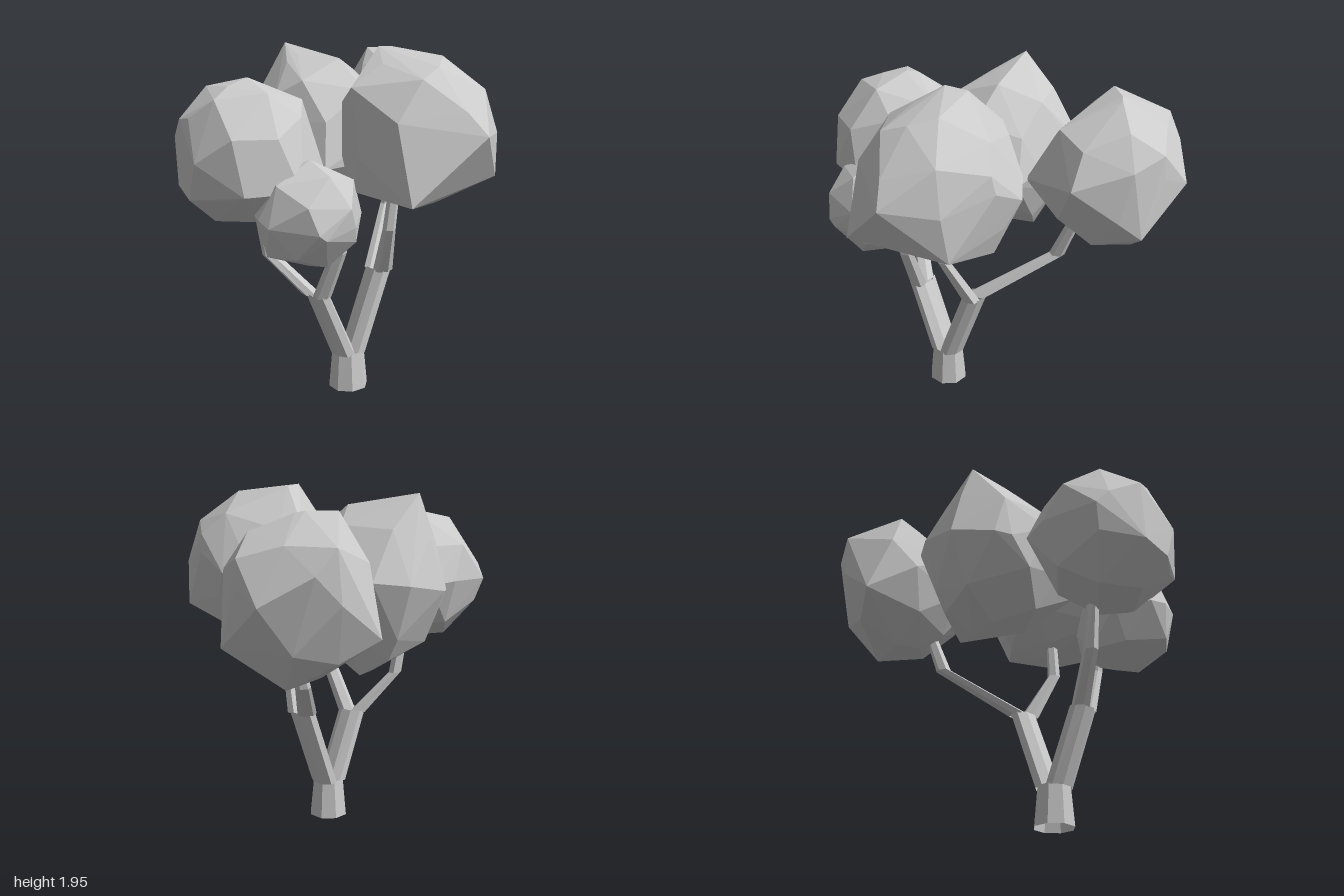
import * as THREE from 'three';
import { ConvexGeometry } from 'three/addons/geometries/ConvexGeometry.js';

const bark = new THREE.MeshStandardMaterial({ color: 0xcccccc, flatShading: true, side: THREE.DoubleSide });
const leaf = new THREE.MeshStandardMaterial({ color: 0xcccccc, flatShading: true });

function seeded(seed) {
  let s = seed * 7919 + 17;
  return () => (s = (s * 16807) % 2147483647) / 2147483647;
}

// Limb lofted through level rings: [x, y, z, rx, rz]
function limb(name, rings, sides = 8) {
  const pos = [], index = [];
  rings.forEach(([x, y, z, rx, rz], r) => {
    for (let i = 0; i < sides; i++) {
      const a = ((i + 0.5) / sides) * Math.PI * 2;
      pos.push(x + rx * Math.cos(a), y, z + rz * Math.sin(a));
      if (r === 0) continue;
      const j = (i + 1) % sides, lo = (r - 1) * sides, hi = r * sides;
      index.push(lo + i, hi + i, lo + j, lo + j, hi + i, hi + j);
    }
  });
  let geo = new THREE.BufferGeometry();
  geo.setAttribute('position', new THREE.Float32BufferAttribute(pos, 3));
  geo.setIndex(index);
  geo = geo.toNonIndexed();
  geo.computeVertexNormals();
  const mesh = new THREE.Mesh(geo, bark);
  mesh.name = name;
  return mesh;
}

// Faceted crown: evenly spread, jittered points fitted to a box, plus pronounced corners
function crown(name, min, max, corners, seed, count = 28) {
  const rand = seeded(seed);
  const turn = new THREE.Euler(rand() * 6, rand() * 6, rand() * 6);
  const points = [];
  for (let i = 0; i < count; i++) {
    const y = 1 - (2 * (i + 0.5)) / count, r = Math.sqrt(1 - y * y), a = i * 2.39996;
    const p = new THREE.Vector3(r * Math.cos(a), y, r * Math.sin(a));
    p.add(new THREE.Vector3(rand() - 0.5, rand() - 0.5, rand() - 0.5).multiplyScalar(0.12)).normalize();
    points.push(p.applyEuler(turn));
  }
  const from = new THREE.Box3().setFromPoints(points), size = from.getSize(new THREE.Vector3());
  const lo = new THREE.Vector3(...min), span = new THREE.Vector3(...max).sub(lo);
  points.forEach((p) => p.sub(from.min).divide(size).multiply(span).add(lo));
  corners.forEach((c) => points.push(new THREE.Vector3(...c)));
  const mesh = new THREE.Mesh(new ConvexGeometry(points), leaf);
  mesh.name = name;
  return mesh;
}

export function createModel() {
  const tree = new THREE.Group();
  tree.name = 'tree';

  // Trunk and its two main limbs
  tree.add(
    limb('trunk', [[-0.118, 0, 0.05, 0.113, 0.113], [-0.118, 0.22, 0.05, 0.094, 0.09]]),
    limb('leftLimb', [[-0.083, 0.21, 0.05, 0.063, 0.088], [0.1, 0.68, 0.05, 0.06, 0.088]]),
    limb('rightLimb', [[-0.153, 0.21, 0.05, 0.063, 0.088], [-0.325, 0.61, 0.05, 0.055, 0.088]])
  );

  // Branches rising from the limbs into the crowns
  tree.add(
    limb('frontBranch', [[0.1, 0.67, 0.09, 0.06, 0.05], [0.03, 0.96, 0.235, 0.037, 0.036], [0.06, 1.25, 0.25, 0.03, 0.03]], 6),
    limb('leftBranch', [[0.1, 0.67, 0.01, 0.06, 0.05], [0.42, 0.94, -0.28, 0.045, 0.038], [0.52, 1.2, -0.31, 0.034, 0.03]], 6),
    limb('innerBranch', [[-0.32, 0.6, 0.09, 0.053, 0.05], [-0.29, 0.88, 0.21, 0.046, 0.04], [-0.31, 1.12, 0.24, 0.035, 0.032]], 6),
    limb('rightBranch', [[-0.34, 0.6, 0.01, 0.05, 0.05], [-0.52, 0.83, -0.12, 0.043, 0.036], [-0.58, 1.2, -0.15, 0.032, 0.03]], 6)
  );

  // Crowns
  tree.add(
    crown('frontCrown', [-0.28, 1.13, -0.06], [0.53, 1.91, 0.75], [
      [0.18, 1.55, 0.83], [-0.2, 1.22, 0.71], [0.1, 1.12, 0.27], [0, 1.95, 0.17], [0.12, 1.94, 0.13],
      [0.54, 1.5, 0.2], [0.51, 1.69, 0.4], [-0.27, 1.77, 0.3], [0.44, 1.28, 0.62],
      [0.1, 1.87, 0.54], [0.2, 1.75, -0.05], [0, 1.32, -0.05], [0.45, 1.21, 0.3], [-0.28, 1.24, 0.3]], 3),
    crown('rightCrown', [-1, 1.04, -0.52], [-0.3, 1.79, 0.25], [
      [-0.57, 1.27, 0.3], [-1, 1.22, -0.08], [-0.61, 1.8, -0.15], [-0.87, 1.4, -0.49],
      [-0.39, 1.4, -0.47], [-0.85, 1.27, 0.22], [-0.32, 1.67, -0.08], [-0.33, 1.35, 0.13],
      [-0.95, 1.62, -0.15], [-0.75, 1.77, -0.1]], 5),
    crown('smallCrown', [-0.77, 0.86, 0], [-0.21, 1.42, 0.5], [
      [-0.78, 1.15, 0.22], [-0.22, 0.95, 0.2], [-0.6, 1.1, 0.5], [-0.37, 1.1, 0.48],
      [-0.4, 0.93, 0.04], [-0.75, 0.96, 0.25], [-0.5, 0.86, 0.24]], 8, 24),
    crown('backCrown', [-0.4, 1.03, -0.76], [0.32, 1.86, 0.05], [
      [-0.1, 1.92, -0.6], [0.04, 0.99, -0.42], [0.14, 0.98, -0.42], [0.31, 1.4, -0.05],
      [0.22, 1.1, -0.3], [0.1, 1.08, -0.58], [-0.27, 1.3, 0.06], [-0.36, 1.4, -0.55],
      [0.28, 1.5, -0.62], [-0.35, 1.67, -0.3], [-0.2, 1.83, -0.42]], 11),
    crown('leftCrown', [0.28, 1.06, -0.82], [0.97, 1.85, -0.07], [
      [0.67, 1.5, -0.02], [1, 1.46, -0.58], [0.46, 1.28, -0.84], [0.75, 1.03, -0.5],
      [0.96, 1.66, -0.4], [0.5, 1.86, -0.6], [0.95, 1.23, -0.27], [0.3, 1.42, -0.13],
      [0.28, 1.5, -0.48], [0.83, 1.6, -0.77], [0.5, 1.07, -0.4], [0.62, 1.86, -0.5], [0.73, 1.72, -0.81]], 14)
  );
  return tree;
}
